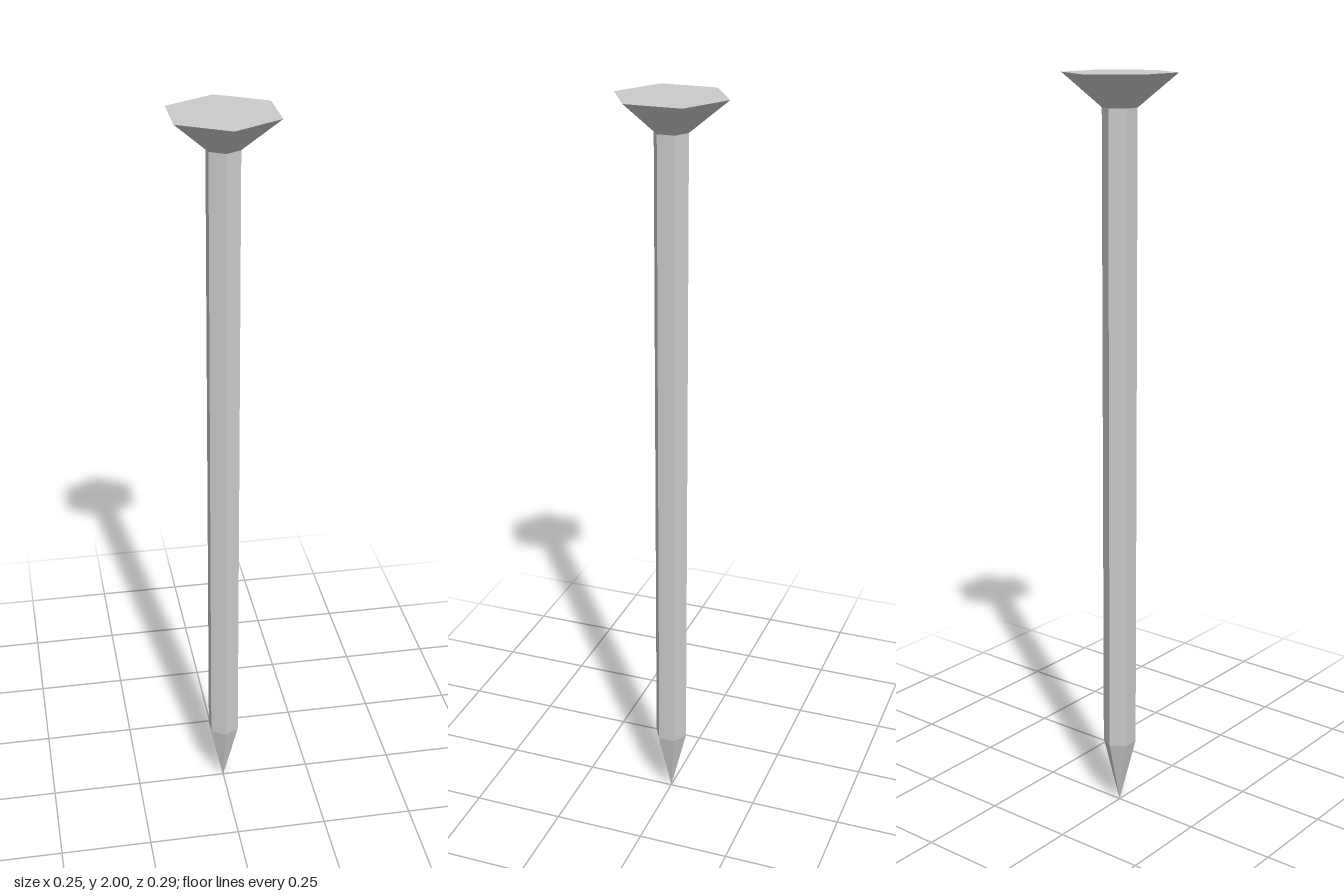
import * as THREE from 'three';

const SIDES = 6;
const SHAFT_RADIUS = 0.045;
const HEAD_RADIUS = 0.147;
const TIP_TOP = 0.185;
const HEAD_BOTTOM = 1.915;
const TOP = 2;

export function createModel() {
  const nail = new THREE.Group();
  nail.name = 'nail';
  const metal = new THREE.MeshStandardMaterial({ color: 0xcccccc, flatShading: true });

  // Adds a six-sided section spanning two heights
  function addSection(name, geometry, bottom, top) {
    const mesh = new THREE.Mesh(geometry, metal);
    mesh.name = name;
    mesh.position.y = (bottom + top) / 2;
    nail.add(mesh);
  }

  // Pointed tip
  const tip = new THREE.ConeGeometry(SHAFT_RADIUS, TIP_TOP, SIDES, 1, true);
  tip.rotateX(Math.PI);
  addSection('tip', tip, 0, TIP_TOP);

  // Straight shaft, closed off by the tip and the head
  const shaft = new THREE.CylinderGeometry(
    SHAFT_RADIUS, SHAFT_RADIUS, HEAD_BOTTOM - TIP_TOP, SIDES, 1, true);
  addSection('shaft', shaft, TIP_TOP, HEAD_BOTTOM);

  // Flared head with a flat top
  const head = new THREE.CylinderGeometry(
    HEAD_RADIUS, SHAFT_RADIUS, TOP - HEAD_BOTTOM, SIDES);
  addSection('head', head, HEAD_BOTTOM, TOP);

  return nail;
}
